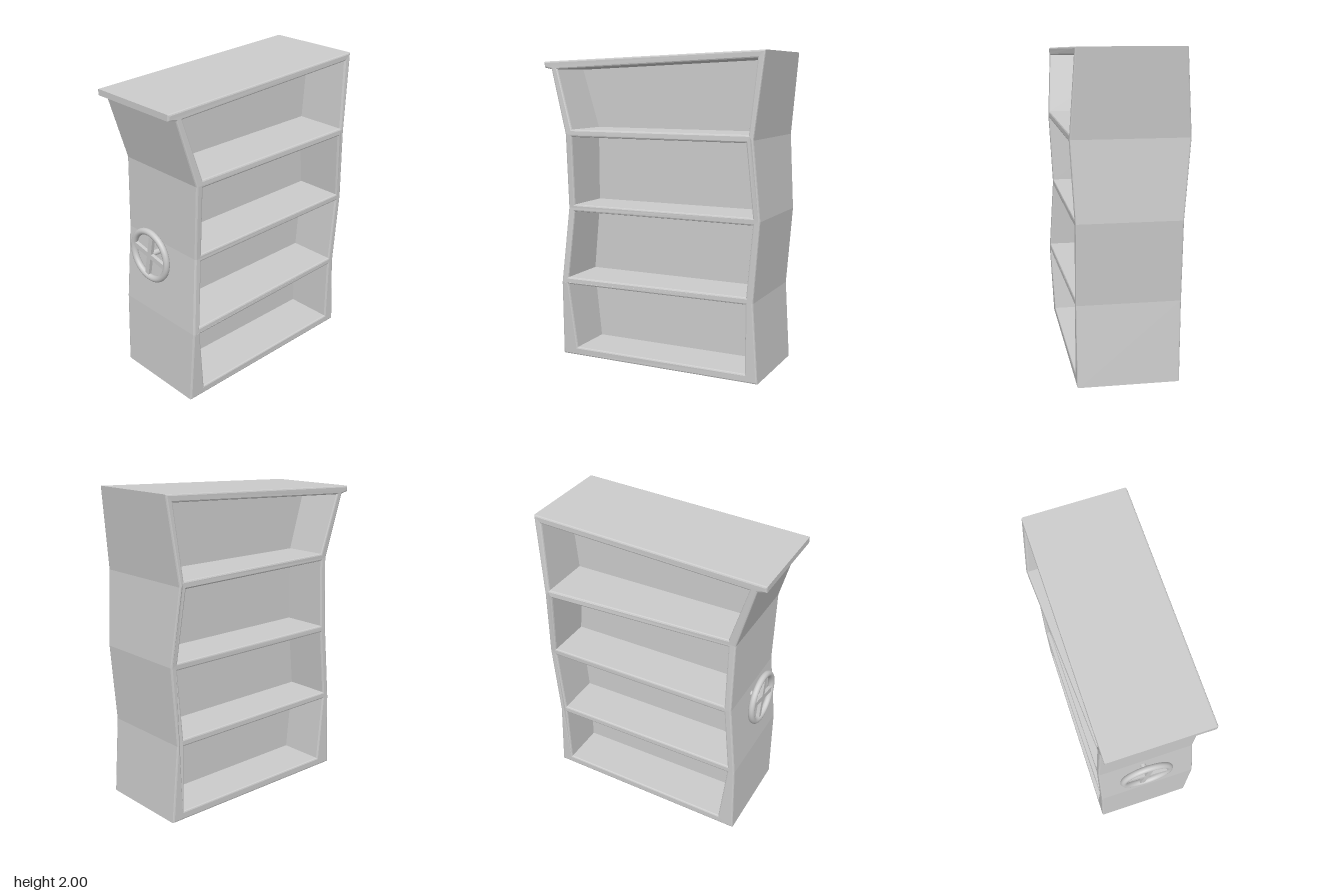
import * as THREE from 'three';

const BEVEL = 0.01;
const HALF = 0.32; // nominal half depth

const toPoints = (list) => list.map(([x, y]) => new THREE.Vector2(x, y));

// Piecewise linear lookup through the bend levels of the case
const LEVELS = [0, 0.5, 1, 1.48, 1.92];
function atHeight(values, y) {
  const last = LEVELS.length - 1;
  if (y >= LEVELS[last]) return values[last];
  let i = 0;
  while (i < last - 1 && y > LEVELS[i + 1]) i++;
  const t = Math.max(0, (y - LEVELS[i]) / (LEVELS[i + 1] - LEVELS[i]));
  return THREE.MathUtils.lerp(values[i], values[i + 1], t);
}

// Depth of the four upright edges at each level: [at -x, at +x]
const FRONT = [[0.325, 0.353, 0.327, 0.353, 0.325], [0.325, 0.326, 0.328, 0.353, 0.325]];
const BACK = [[0.315, 0.31, 0.31, 0.292, 0.315], [0.297, 0.31, 0.31, 0.357, 0.315]];

// Crooked case outline, counter-clockwise from the bottom
const OUTLINE = [
  [-0.65, 0], [0.735, 0], [0.7, 0.5], [0.738, 1], [0.698, 1.48], [0.755, 2],
  [-0.76, 1.945], [-0.76, 1.907], [-0.705, 1.895],
  [-0.59, 1.48], [-0.59, 1], [-0.637, 0.5],
];

// Openings of the four shelves, bottom to top
const OPENINGS = [
  [[-0.54, 0.055], [0.652, 0.055], [0.652, 0.49], [-0.587, 0.49]],
  [[-0.587, 0.536], [0.655, 0.536], [0.692, 0.976], [-0.545, 0.976]],
  [[-0.543, 1.022], [0.692, 1.022], [0.652, 1.464], [-0.543, 1.464]],
  [[-0.543, 1.512], [0.667, 1.512], [0.706, 1.952], [-0.66, 1.895]],
];

function buildCase() {
  const shape = new THREE.Shape(toPoints(OUTLINE));
  for (const hole of OPENINGS) shape.holes.push(new THREE.Path(toPoints(hole)));
  const geo = new THREE.ExtrudeGeometry(shape, {
    depth: 2 * (HALF - BEVEL), bevelEnabled: true, bevelSize: BEVEL,
    bevelThickness: BEVEL, bevelOffset: -BEVEL, bevelSegments: 2,
  });
  geo.translate(0, 0, BEVEL - HALF);
  // Warp the front and back faces in and out
  const pos = geo.attributes.position;
  for (let i = 0; i < pos.count; i++) {
    const x = pos.getX(i), y = pos.getY(i), z = pos.getZ(i);
    const edges = z > 0 ? FRONT : BACK;
    const t = THREE.MathUtils.clamp((x + 0.6) / 1.3, 0, 1);
    const depth = THREE.MathUtils.lerp(atHeight(edges[0], y), atHeight(edges[1], y), t);
    pos.setZ(i, z * depth / HALF);
  }
  geo.computeVertexNormals();
  return geo;
}

export function createModel() {
  const group = new THREE.Group();
  const material = new THREE.MeshStandardMaterial({ color: 0xcccccc });
  const add = (parent, name, geo) => {
    const mesh = new THREE.Mesh(geo, material);
    mesh.name = name;
    parent.add(mesh);
    return mesh;
  };

  add(group, 'bookcaseFrame', buildCase());

  // Thin panels closing each opening midway, shared by front and back shelves
  for (const hole of OPENINGS) {
    const geo = new THREE.ExtrudeGeometry(new THREE.Shape(toPoints(hole)), { depth: 0.016, bevelEnabled: false });
    add(group, 'dividerPanel', geo.translate(0, 0, -0.008));
  }

  // Hand wheel on the side
  const wheel = new THREE.Group();
  wheel.name = 'handWheel';
  wheel.position.set(-0.667, 0.93, -0.01);
  group.add(wheel);
  add(wheel, 'wheelRim', new THREE.TorusGeometry(0.157, 0.021, 12, 40).rotateY(Math.PI / 2));
  add(wheel, 'wheelAxle', new THREE.CylinderGeometry(0.018, 0.018, 0.11, 16)
    .rotateZ(Math.PI / 2).translate(0.045, 0.004, 0));
  for (let i = 0; i < 2; i++) {
    const spoke = add(wheel, 'wheelSpoke', new THREE.BoxGeometry(0.022, 0.3, 0.034));
    spoke.rotation.x = 0.2 + i * Math.PI / 2;
  }
  return group;
}
